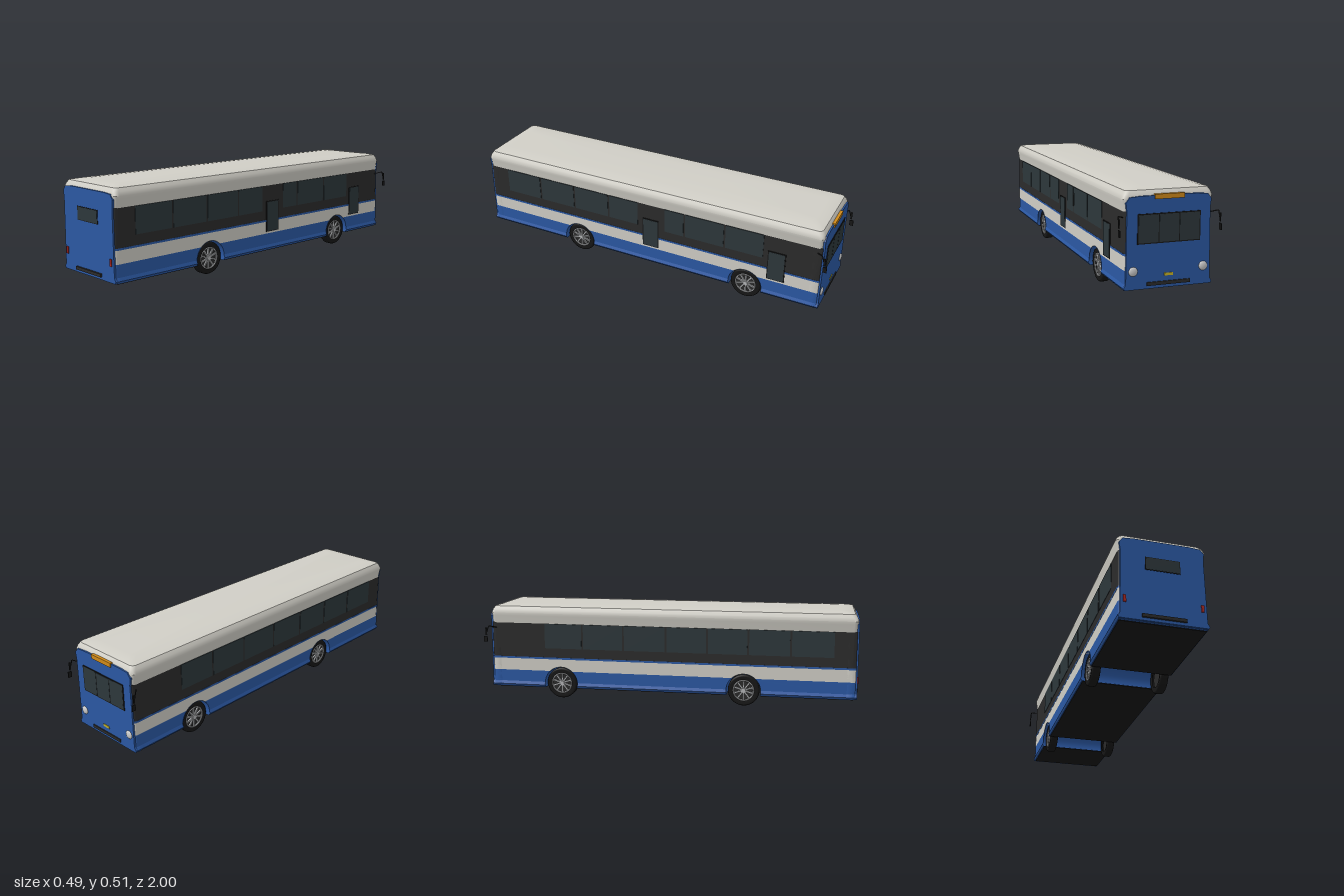
import * as THREE from 'three';
import { toCreasedNormals } from 'three/addons/utils/BufferGeometryUtils.js';

const mat = (color) => new THREE.MeshStandardMaterial({ color, side: THREE.DoubleSide });
const BLUE = mat(0x2b58a3), WHITE = mat(0xd0cec6), DARK = mat(0x2b2b2b), GLASS = mat(0x2d373b);
const BLACK = mat(0x161616), RED = mat(0xb02822), ORANGE = mat(0xd08a1a), STEEL = mat(0xb4b6b8);
const YELLOW = mat(0xc8b428), LAMP = mat(0xc4c8c8);

const AXLES = [-0.58, 0.41], AXLE_Y = 0.083, ARCH_R = 0.091;
const FRONT = -0.965, REAR = 0.985;

function add(parent, name, geometry, material, x = 0, y = 0, z = 0) {
  const mesh = new THREE.Mesh(geometry, material);
  mesh.name = name;
  mesh.position.set(x, y, z);
  parent.add(mesh);
  return mesh;
}
const box = (parent, name, material, w, h, d, x, y, z) =>
  add(parent, name, new THREE.BoxGeometry(w, h, d), material, x, y, z);

// Rounded-rectangle rings [y, halfWidth, z0, z1] joined bottom to top and capped
function loft(rings, r = 0.014) {
  const pos = [], index = [], n = 20;
  for (const [y, hw, z0, z1] of rings) {
    for (let j = 0; j < n; j++) {
      const corner = Math.floor(j / 5), a = (corner + (j % 5) / 4) * Math.PI / 2;
      const sx = corner === 0 || corner === 3 ? 1 : -1, sz = corner < 2 ? 1 : -1;
      const cz = sz > 0 ? z1 - r : z0 + r;
      pos.push(sx * (hw - r) + r * Math.cos(a), y, cz + r * Math.sin(a));
    }
  }
  const last = (rings.length - 1) * n;
  const mid = (ring) => pos.push(0, ring[0], (ring[2] + ring[3]) / 2);
  mid(rings[0]);
  mid(rings[rings.length - 1]);
  for (let j = 0; j < n; j++) {
    const k = (j + 1) % n;
    for (let i = 0; i < last; i += n) index.push(i + j, i + n + j, i + k, i + k, i + n + j, i + n + k);
    index.push(last + n, j, k, last + n + 1, last + k, last + j);
  }
  const g = new THREE.BufferGeometry();
  g.setAttribute('position', new THREE.Float32BufferAttribute(pos, 3));
  g.setIndex(index);
  return toCreasedNormals(g, 0.6);
}

// One horizontal slice of the body, cut by the wheel arches where they reach it
function bodyBand(parent, name, material, y0, y1, w0, w1) {
  const reach = (y) => Math.sqrt(Math.max(0, ARCH_R ** 2 - (y - AXLE_Y) ** 2));
  const cuts = [() => FRONT + 0.02];
  if (y0 < AXLE_Y + ARCH_R - 0.001)
    for (const z of AXLES) cuts.push((y) => z - reach(y), (y) => z + reach(y));
  cuts.push(() => REAR - 0.02);
  for (let i = 0; i < cuts.length; i += 2) {
    const pts = [], steps = 10;
    for (let s = 0; s <= steps; s++) {
      const y = y0 + (y1 - y0) * s / steps;
      pts.push(new THREE.Vector2(cuts[i + 1](y), y));
    }
    for (let s = steps; s >= 0; s--) {
      const y = y0 + (y1 - y0) * s / steps;
      pts.push(new THREE.Vector2(cuts[i](y), y));
    }
    const g = new THREE.ExtrudeGeometry(new THREE.Shape(pts), { depth: 1, bevelEnabled: false });
    g.rotateY(-Math.PI / 2).translate(0.5, 0, 0);
    const p = g.attributes.position;
    for (let v = 0; v < p.count; v++) {
      const t = (p.getY(v) - y0) / (y1 - y0);
      p.setX(v, Math.sign(p.getX(v)) * (w0 + (w1 - w0) * t));
    }
    g.computeVertexNormals();
    add(parent, name, g, material);
  }
  // Rounded corners at both ends
  for (const [z0, z1] of [[FRONT, FRONT + 0.06], [REAR - 0.06, REAR]])
    add(parent, name + 'End', loft([[y0, w0, z0, z1], [y1, w1, z0, z1]]), material);
}

function makeWheel() {
  const wheel = new THREE.Group();
  wheel.name = 'wheel';
  const tyre = [[0.054, -0.02], [0.074, -0.0225], [0.08, -0.02], [0.083, -0.014],
    [0.083, 0.014], [0.08, 0.02], [0.074, 0.0225], [0.054, 0.02]].map((p) => new THREE.Vector2(...p));
  add(wheel, 'tyre', new THREE.LatheGeometry(tyre, 40).rotateZ(-Math.PI / 2), BLACK);
  add(wheel, 'rimDisc', new THREE.CylinderGeometry(0.055, 0.055, 0.024, 32).rotateZ(Math.PI / 2), DARK);
  add(wheel, 'rimRing', new THREE.TorusGeometry(0.053, 0.004, 8, 40).rotateY(Math.PI / 2), STEEL, 0.019);
  add(wheel, 'hub', new THREE.CylinderGeometry(0.012, 0.015, 0.014, 20).rotateZ(-Math.PI / 2), STEEL, 0.017);
  for (let i = 0; i < 10; i++) {
    const g = new THREE.BoxGeometry(0.008, 0.044, 0.008).translate(0, 0.031, 0);
    add(wheel, 'spoke', g.rotateX(i * Math.PI / 5), STEEL, 0.016);
  }
  return wheel;
}

export function createModel() {
  const bus = new THREE.Group();
  bus.name = 'cityBus';

  // Body bands from skirt to window line
  bodyBand(bus, 'skirtEdge', BLUE, 0.06, 0.072, 0.206, 0.214);
  bodyBand(bus, 'skirtFlare', BLUE, 0.072, 0.088, 0.214, 0.207);
  bodyBand(bus, 'lowerPanel', BLUE, 0.088, 0.15, 0.207, 0.207);
  bodyBand(bus, 'lightStripe', WHITE, 0.15, 0.174, 0.207, 0.207);
  bodyBand(bus, 'lightStripe', WHITE, 0.174, 0.215, 0.207, 0.207);
  bodyBand(bus, 'blueTrim', BLUE, 0.215, 0.225, 0.208, 0.208);
  bodyBand(bus, 'windowBand', DARK, 0.225, 0.412, 0.207, 0.205);

  // Roof with a flared, rounded edge
  add(bus, 'roof', loft([[0.41, 0.206, FRONT, REAR], [0.45, 0.212, FRONT, REAR + 0.001],
    [0.465, 0.215, FRONT - 0.001, REAR + 0.002], [0.484, 0.208, FRONT + 0.004, REAR - 0.004],
    [0.5, 0.198, FRONT + 0.016, REAR - 0.016], [0.506, 0.165, FRONT + 0.04, REAR - 0.045],
    [0.509, 0.12, FRONT + 0.08, REAR - 0.08]], 0.022), WHITE);

  // Blue end panels
  const half = [[0.207, 0.062], [0.212, 0.072], [0.202, 0.088], [0.198, 0.41], [0.203, 0.45], [0.185, 0.473], [0.13, 0.477]];
  const outline = [...half, ...half.map(([x, y]) => [-x, y]).reverse()].map((p) => new THREE.Vector2(...p));
  const panel = new THREE.ExtrudeGeometry(new THREE.Shape(outline), { depth: 0.018, bevelEnabled: false });
  add(bus, 'rearPanel', panel, BLUE, 0, 0, REAR - 0.012);
  add(bus, 'cabPanel', panel, BLUE, 0, 0, FRONT - 0.006);

  // Underside between the arches
  for (const [a, b] of [[FRONT + 0.012, AXLES[0] - 0.09], [AXLES[0] + 0.09, AXLES[1] - 0.09], [AXLES[1] + 0.09, REAR - 0.012]])
    box(bus, 'underside', BLACK, 0.405, 0.006, b - a, 0, 0.06, (a + b) / 2);

  // Wheel arch tunnels and wheels
  for (const z of AXLES) {
    const arch = new THREE.CylinderGeometry(0.0905, 0.0905, 0.418, 36, 1, true, -0.25, Math.PI + 0.5);
    add(bus, 'wheelArch', arch.rotateZ(Math.PI / 2), BLUE, 0, AXLE_Y, z);
    for (const s of [1, -1]) {
      const wheel = makeWheel();
      wheel.position.set(s * 0.1735, AXLE_Y, z);
      if (s < 0) wheel.rotation.y = Math.PI;
      bus.add(wheel);
    }
  }

  // Side windows
  const leftPanes = [[0.87, 0.656], [0.646, 0.437], [0.427, 0.222], [0.212, 0.002],
    [-0.008, -0.228], [-0.238, -0.453], [-0.463, -0.667]];
  const doorPanes = leftPanes.map((p) => [...p]);
  doorPanes[3][1] = 0.04;
  doorPanes[4][0] = -0.12;
  for (const [side, panes] of [[1, doorPanes], [-1, leftPanes]])
    for (const [a, b] of panes)
      box(bus, 'sideWindow', GLASS, 0.004, 0.133, a - b, side * 0.2062, 0.342, (a + b) / 2);

  // Passenger doors
  for (const z of [-0.037, -0.74]) {
    box(bus, 'doorFrame', BLACK, 0.006, 0.166, 0.094, 0.206, 0.243, z);
    box(bus, 'doorGlass', GLASS, 0.006, 0.158, 0.084, 0.2072, 0.243, z);
  }

  // Rear window, lights and bumper
  box(bus, 'rearWindowFrame', BLACK, 0.166, 0.067, 0.004, 0, 0.3545, 0.991);
  box(bus, 'rearWindow', GLASS, 0.16, 0.061, 0.005, 0, 0.3545, 0.9915);
  for (const s of [1, -1]) box(bus, 'tailLight', RED, 0.013, 0.034, 0.008, s * 0.181, 0.158, 0.992);
  box(bus, 'rearBumper', DARK, 0.206, 0.016, 0.014, 0, 0.084, 0.993);

  // Windscreen in three panes, destination sign, headlamps, plate and bumper
  box(bus, 'windscreenFrame', BLACK, 0.3, 0.134, 0.006, 0, 0.332, -0.971);
  for (const i of [-1, 0, 1]) box(bus, 'windscreenPane', GLASS, 0.094, 0.124, 0.006, i * 0.098, 0.332, -0.972);
  box(bus, 'destinationSign', ORANGE, 0.14, 0.022, 0.016, 0, 0.472, -0.968);
  box(bus, 'plate', YELLOW, 0.042, 0.012, 0.004, 0, 0.122, -0.972);
  box(bus, 'frontBumper', DARK, 0.206, 0.016, 0.012, 0, 0.084, -0.97);
  for (const s of [1, -1]) {
    const lamp = new THREE.SphereGeometry(0.021, 24, 12).scale(1, 1, 0.4);
    add(bus, 'headlamp', lamp, LAMP, s * 0.168, 0.145, -0.971);
  }

  // Mirrors on bent arms
  for (const s of [1, -1]) {
    const path = new THREE.CurvePath();
    const pts = [[0.203, 0.382, -0.94], [0.239, 0.395, -0.972], [0.241, 0.345, -0.988]]
      .map(([x, y, z]) => new THREE.Vector3(s * x, y, z));
    path.add(new THREE.LineCurve3(pts[0], pts[1]));
    path.add(new THREE.LineCurve3(pts[1], pts[2]));
    add(bus, 'mirrorArm', new THREE.TubeGeometry(path, 24, 0.0025, 8), BLACK);
    box(bus, 'upperMirror', BLACK, 0.005, 0.038, 0.008, s * 0.2405, 0.366, -0.986);
    box(bus, 'lowerMirror', BLACK, 0.005, 0.03, 0.02, s * 0.2405, 0.323, -0.99);
  }
  return bus;
}
